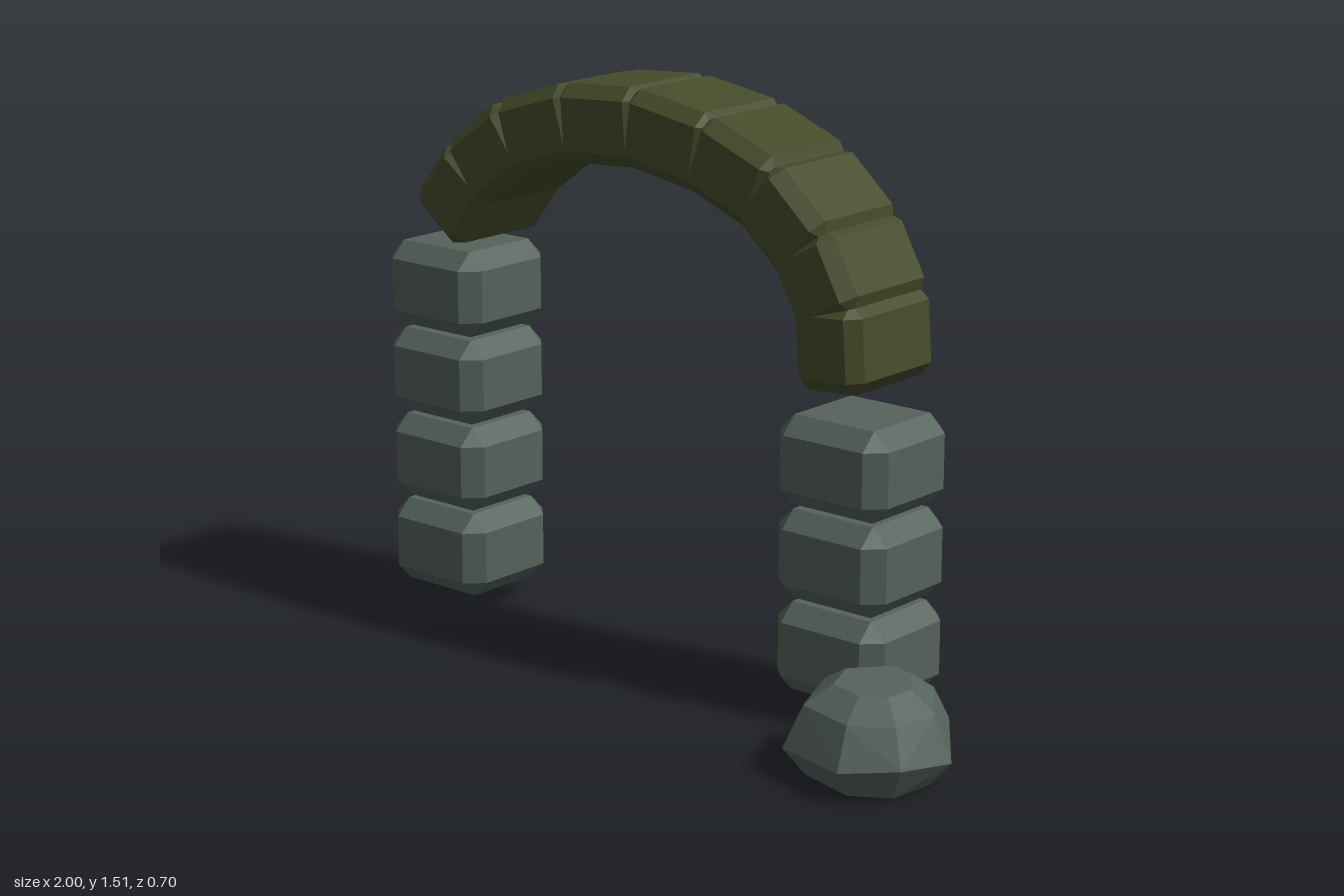
import * as THREE from 'three';
import { ConvexGeometry } from 'three/addons/geometries/ConvexGeometry.js';

// Box with every edge and corner cut off by c
function chamferedBox(w, h, d, c) {
  const pts = [];
  for (const sx of [-1, 1]) for (const sy of [-1, 1]) for (const sz of [-1, 1]) {
    const x = w / 2, y = h / 2, z = d / 2;
    pts.push(
      new THREE.Vector3(sx * x, sy * (y - c), sz * (z - c)),
      new THREE.Vector3(sx * (x - c), sy * y, sz * (z - c)),
      new THREE.Vector3(sx * (x - c), sy * (y - c), sz * z));
  }
  return new ConvexGeometry(pts);
}

export function createModel() {
  const stone = new THREE.MeshStandardMaterial({ color: 0x55625b });
  stone.name = 'greyStone';
  stone.flatShading = true;
  const moss = new THREE.MeshStandardMaterial({ color: 0x454c2a });
  moss.name = 'mossyStone';
  moss.flatShading = true;

  const model = new THREE.Group();
  model.name = 'ruinedArch';
  const zMid = -0.184;

  // Pillars of stacked blocks; the left one is a block shorter
  const blockGeo = chamferedBox(0.332, 0.23, 0.316, 0.045);
  for (const [name, x, count] of [['rightPillar', -0.834, 4], ['leftPillar', 0.503, 3]]) {
    const pillar = new THREE.Group();
    pillar.name = name;
    for (let i = 0; i < count; i++) {
      const block = new THREE.Mesh(blockGeo, stone);
      block.name = 'pillarBlock';
      block.position.set(x, 0.175 + i * 0.24, zMid);
      pillar.add(block);
    }
    model.add(pillar);
  }

  // Arch: one overlapping block between each pair of joints on the centre line
  const joints = [
    [-0.808, 1.076], [-0.69, 1.23], [-0.537, 1.342], [-0.337, 1.404], [-0.12, 1.418],
    [0.099, 1.382], [0.286, 1.307], [0.42, 1.187], [0.497, 1.045], [0.511, 0.85],
  ].map(([x, y]) => new THREE.Vector2(x, y));
  const arch = new THREE.Group();
  arch.name = 'arch';
  const overlap = 0.027;
  for (let i = 0; i < joints.length - 1; i++) {
    const dir = joints[i + 1].clone().sub(joints[i]).normalize();
    const a = joints[i].clone().addScaledVector(dir, i === 0 ? 0 : -overlap);
    const b = joints[i + 1].clone().addScaledVector(dir, i === joints.length - 2 ? 0 : overlap);
    const block = new THREE.Mesh(chamferedBox(a.distanceTo(b), 0.202, 0.331, 0.033), moss);
    block.name = 'archBlock';
    block.position.set((a.x + b.x) / 2, (a.y + b.y) / 2, zMid);
    block.rotation.z = Math.atan2(dir.y, dir.x);
    arch.add(block);
  }
  model.add(arch);

  // Boulder: one outline repeated at four heights
  const outline = [[0.71, -0.125], [0.85, -0.09], [0.995, 0.1], [0.975, 0.27],
    [0.85, 0.348], [0.645, 0.295], [0.55, 0.07]];
  const cx = 0.78, cz = 0.11;
  const rings = [[0.005, 0.74], [0.085, 1], [0.182, 0.78], [0.228, 0.46]];
  const boulderPts = [];
  rings.forEach(([y, s]) => outline.forEach(([x, z], i) => {
    const wobble = s === 1 ? 0.014 * Math.sin(i * 2.4) : 0;
    boulderPts.push(new THREE.Vector3(cx + (x - cx) * s, y + wobble, cz + (z - cz) * s));
  }));
  const boulder = new THREE.Mesh(new ConvexGeometry(boulderPts), stone);
  boulder.name = 'boulder';
  model.add(boulder);

  return model;
}
